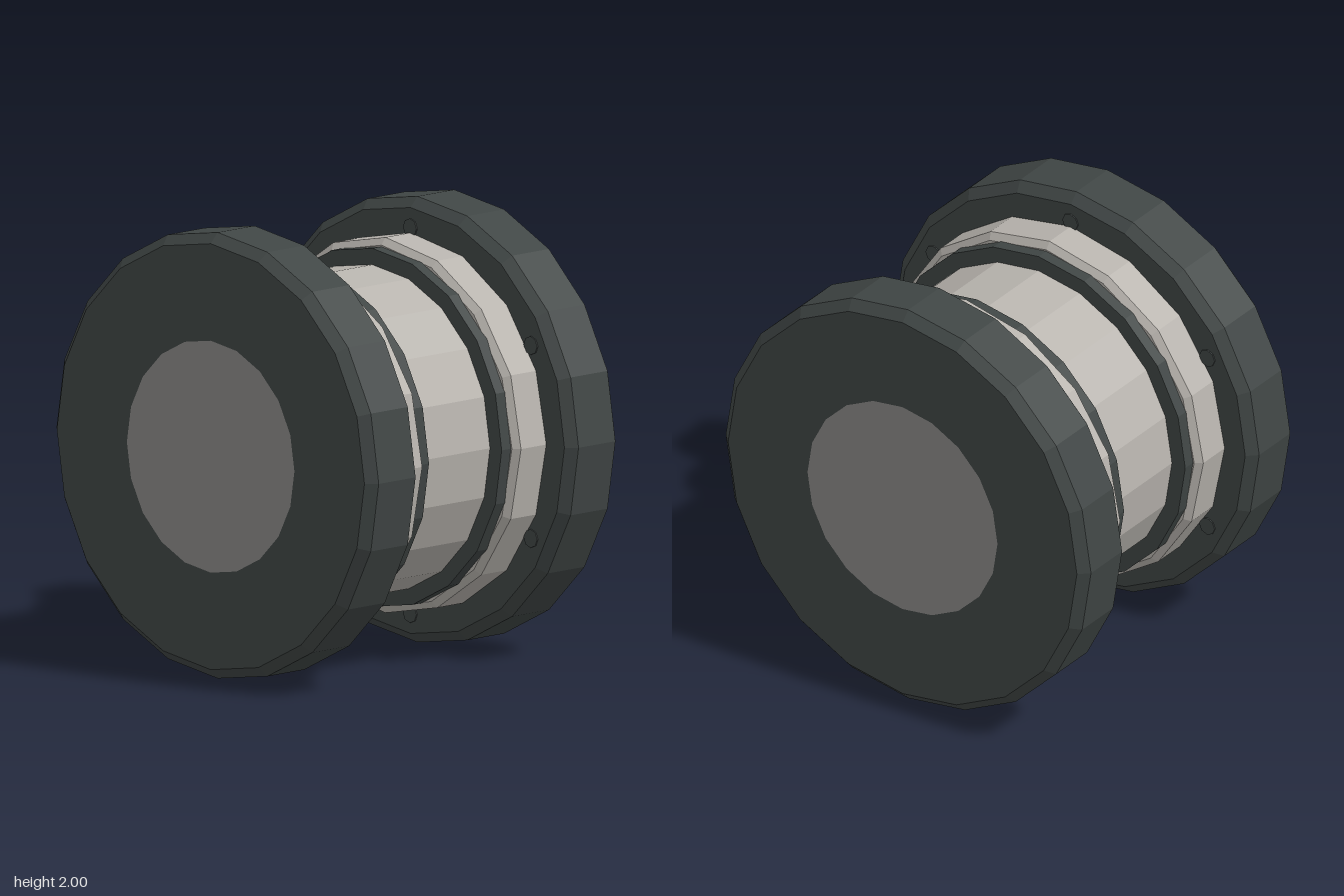
import * as THREE from 'three';

const flat = (name, color) => {
  const m = new THREE.MeshStandardMaterial({ color, flatShading: true });
  m.name = name;
  return m;
};

export function createModel() {
  const dark = flat('darkRubber', 0x404645);
  const steel = flat('paleSteel', 0xb8b4ae);
  const grey = flat('hubGrey', 0x8b8a88);
  const model = new THREE.Group();
  model.name = 'spool';

  // Faceted ring turned around z; the profile lists [radius, z] towards +z
  const turned = (name, profile, sides, material) => {
    const points = profile.map(([r, z]) => new THREE.Vector2(r, z));
    const geometry = new THREE.LatheGeometry(points, sides).rotateX(Math.PI / 2).toNonIndexed();
    geometry.computeVertexNormals();
    const mesh = new THREE.Mesh(geometry, material);
    mesh.name = name;
    return mesh;
  };

  // Central drum
  model.add(turned('core', [[0.73, -0.25], [0.73, 0.25]], 20, steel));

  // Both ends are alike, the rear one turned half way round
  for (const [name, turn] of [['frontEnd', 0], ['backEnd', Math.PI]]) {
    const end = new THREE.Group();
    end.name = name;
    end.rotation.y = turn;

    // Thin dark collar, stepped shoulder and bevelled outer flange
    end.add(turned('collar', [[0.7, 0.228], [0.803, 0.228], [0.803, 0.29], [0.7, 0.29]], 20, dark));
    end.add(turned('shoulder', [[0.7, 0.285], [0.81, 0.285], [0.842, 0.31], [0.842, 0.475]], 16, steel));
    end.add(turned('flange', [
      [0.75, 0.468], [0.955, 0.468], [1, 0.511], [1, 0.742], [0.955, 0.786], [0.52, 0.786],
    ], 20, dark));

    // Hub face, flush with the flange
    const hub = new THREE.Mesh(new THREE.CircleGeometry(0.52, 20), grey);
    hub.name = 'hubFace';
    hub.position.z = 0.786;
    end.add(hub);

    // Six low bolt heads on the inner face of the flange
    for (let i = 0; i < 6; i++) {
      const a = Math.PI / 6 + (i * Math.PI) / 3;
      const bolt = new THREE.Mesh(new THREE.CylinderGeometry(0.042, 0.042, 0.02, 8).rotateX(Math.PI / 2), dark);
      bolt.name = 'bolt';
      bolt.position.set(0.865 * Math.cos(a), 0.865 * Math.sin(a), 0.472);
      end.add(bolt);
    }
    model.add(end);
  }

  model.position.y = 1;
  const root = new THREE.Group();
  root.add(model);
  return root;
}
